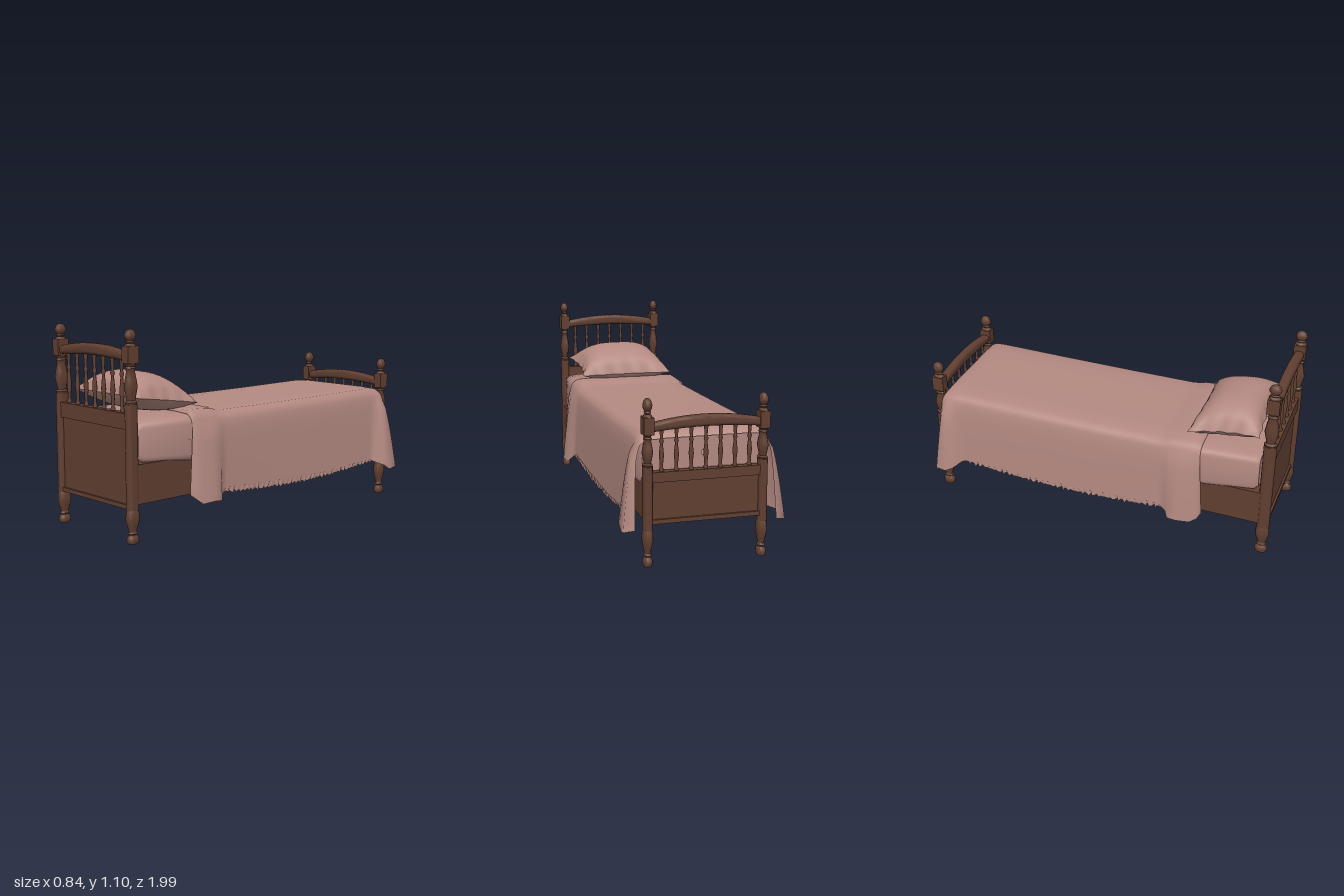
import * as THREE from 'three';
import { toCreasedNormals } from 'three/addons/utils/BufferGeometryUtils.js';

const wood = new THREE.MeshStandardMaterial({ color: 0x613f31 });
wood.name = 'brown wood';
const fabric = new THREE.MeshStandardMaterial({ color: 0xb48a82, side: THREE.DoubleSide });
fabric.name = 'dusty pink fabric';

function add(parent, name, geometry, material, x = 0, y = 0, z = 0) {
  const mesh = new THREE.Mesh(geometry, material);
  mesh.name = name;
  mesh.position.set(x, y, z);
  parent.add(mesh);
  return mesh;
}

const box = (w, h, d) => new THREE.BoxGeometry(w, h, d);

// Skin over rows of [x, y, z] points
function loft(rows) {
  const n = rows[0].length, index = [];
  for (let i = 0; i < rows.length - 1; i++) {
    for (let j = 0; j < n - 1; j++) {
      const a = i * n + j, b = a + 1, c = a + n, d = c + 1;
      index.push(a, b, c, b, d, c);
    }
  }
  const g = new THREE.BufferGeometry();
  g.setAttribute('position', new THREE.Float32BufferAttribute(rows.flat(2), 3));
  g.setIndex(index);
  g.computeVertexNormals();
  return g;
}

const lathe = (pts, sides) => new THREE.LatheGeometry(pts.map(p => new THREE.Vector2(p[0], p[1])), sides);

// Turned post: foot, plain shaft, vase, square block and finial
function makePost(base, shaftLow, shaftHigh, blockLow, blockHigh, top) {
  const post = new THREE.Group();
  post.name = 'post';
  const f = t => base + (shaftLow - base) * t;
  const v = t => shaftHigh + (blockLow - shaftHigh) * t;
  const k = t => blockHigh + (top - blockHigh) * t;
  const turned = (name, pts) => add(post, name, toCreasedNormals(lathe(pts, 20), 0.7), wood).scale.set(1, 1, 1.4);
  turned('turnedFoot', [[0, f(0)], [0.02, f(0)], [0.025, f(0.08)], [0.024, f(0.18)], [0.014, f(0.26)], [0.02, f(0.3)],
    [0.015, f(0.36)], [0.021, f(0.5)], [0.028, f(0.72)], [0.026, f(0.92)], [0.022, f(1)]]);
  turned('shaft', [[0, shaftLow], [0.025, shaftLow], [0.025, shaftHigh], [0, shaftHigh]]);
  turned('vase', [[0.022, v(0)], [0.025, v(0.05)], [0.017, v(0.1)], [0.02, v(0.2)], [0.027, v(0.42)],
    [0.023, v(0.6)], [0.017, v(0.8)], [0.021, v(0.88)], [0.016, v(0.93)], [0.022, v(1)]]);
  turned('finial', [[0.022, k(0)], [0.02, k(0.08)], [0.012, k(0.15)], [0.018, k(0.24)], [0.014, k(0.32)], [0.022, k(0.5)],
    [0.023, k(0.65)], [0.017, k(0.88)], [0.008, k(0.98)], [0, k(1)]]);
  add(post, 'block', box(0.05, blockHigh - blockLow, 0.066), wood, 0, (blockLow + blockHigh) / 2);
  return post;
}

// Arched rail with rounded edges
function archRail(low, high) {
  const s = new THREE.Shape();
  s.moveTo(-0.28, low);
  s.quadraticCurveTo(0, low + 0.03, 0.28, low);
  s.lineTo(0.28, high);
  s.quadraticCurveTo(0, high + 0.06, -0.28, high);
  const g = new THREE.ExtrudeGeometry(s, { depth: 0.016, curveSegments: 16, bevelThickness: 0.018,
    bevelSize: 0.016, bevelOffset: -0.016, bevelSegments: 4 });
  return toCreasedNormals(g.translate(0, 0, -0.008), 0.7);
}

// Headboard or footboard
function makeEnd(name, z, o) {
  const end = new THREE.Group();
  end.name = name;
  end.position.z = z;
  for (const side of [-1, 1]) {
    const post = makePost(...o.post);
    post.position.x = side * 0.295;
    end.add(post);
  }
  add(end, 'archedRail', archRail(o.railLow, o.railHigh), wood);
  const h = o.panelTop - o.panelLow;
  add(end, 'panel', box(0.56, h, 0.02), wood, 0, o.panelLow + h / 2);
  add(end, 'panelTopRail', box(0.56, o.capHeight, 0.044), wood, 0, o.panelTop - o.capHeight / 2);
  add(end, 'panelBottomRail', box(0.56, 0.022, 0.044), wood, 0, o.panelLow + 0.011);
  const len = o.railLow + 0.015 - o.panelTop;
  const profile = [[0.011, 0], [0.013, 0.03], [0.008, 0.08], [0.009, 0.2], [0.013, 0.38], [0.009, 0.55],
    [0.007, 0.64], [0.012, 0.7], [0.007, 0.76], [0.009, 0.9], [0.012, 1.04]].map(([r, t]) => [r, t * len]);
  for (let i = -3; i <= 3; i++) add(end, 'spindle', lathe(profile, 12), wood, i * 0.075, o.panelTop);
  return end;
}

// Mattress: rounded rectangular sections, closed at both ends, its sides hanging over the frame
function mattressGeometry() {
  const sections = [[0.912, 0.01, 0.55, 0.53], [0.912, 0.29, 0.635, 0.44], [0.89, 0.307, 0.648, 0.425],
    [0.6, 0.332, 0.652, 0.4], [0.4, 0.325, 0.648, 0.4], [-0.88, 0.325, 0.648, 0.38],
    [-0.92, 0.31, 0.635, 0.39], [-0.92, 0.01, 0.55, 0.53]];
  const soft = c => Math.sign(c) * Math.pow(Math.abs(c), 0.25);
  return toCreasedNormals(loft(sections.map(([z, w, top, low]) => {
    const row = [];
    for (let i = 0; i <= 40; i++) {
      const a = i / 40 * Math.PI * 2;
      const x = w * soft(Math.cos(a));
      const y = (top + low) / 2 + (top - low) / 2 * soft(Math.sin(a));
      row.push([x, Math.abs(x) < 0.29 ? Math.max(y, 0.445) : y, z]);
    }
    return row;
  })), 0.8);
}

// Bedspread stations: z at top, z at hem, top height, hem half width, hem height
const stations = [
  [0.6, 0.625, 0.655, 0.345, 0.24], [0.595, 0.61, 0.672, 0.372, 0.22], [0.56, 0.57, 0.677, 0.39, 0.19],
  [0.5, 0.5, 0.675, 0.402, 0.2], [0.44, 0.445, 0.67, 0.398, 0.19], [0.405, 0.425, 0.66, 0.362, 0.22],
  [0.36, 0.38, 0.655, 0.354, 0.245], [0, 0, 0.655, 0.354, 0.225], [-0.4, -0.4, 0.657, 0.354, 0.215],
  [-0.8, -0.79, 0.662, 0.354, 0.235], [-0.85, -0.825, 0.662, 0.365, 0.22], [-0.875, -0.86, 0.66, 0.408, 0.2],
  [-0.9, -0.91, 0.655, 0.42, 0.17], [-0.92, -0.965, 0.645, 0.412, 0.18], [-0.935, -0.985, 0.625, 0.37, 0.19],
];

function spreadGeometry() {
  return loft(stations.map(([z, zHem, top, w, hem], k) => {
    const half = [[0, top, z], [0.2, top, z], [0.295, top - 0.005, z], [0.325, top - 0.025, z]];
    for (let i = 0; i <= 8; i++) {
      const t = i / 8, y = top - 0.055;
      const fold = (w > 0.36 ? 0.006 : 0) * t * (k % 2 ? 1 : -1);
      half.push([0.336 + (w - 0.336) * Math.pow(t, 0.5) + fold, y + (hem - y) * t, z + (zHem - z) * t]);
    }
    return [...half.slice(1).reverse().map(([x, y, d]) => [-x, y, d]), ...half];
  }));
}

// Gathered fringe along one hem
function fringeGeometry(side) {
  const top = [], low = [], n = 110;
  for (let i = 0; i <= n; i++) {
    const t = i / n, z = 0.42 - 1.24 * t;
    const y = 0.245 - 0.033 * Math.sin(t * Math.PI);
    const x = side * (0.35 + 0.005 * Math.sin(i * 1.9));
    top.push([side * 0.35, y + 0.015, z]);
    low.push([x + side * 0.003 * Math.sin(i * 2.7), y - 0.022 + 0.008 * Math.sin(i * 2.3), z + 0.004 * Math.sin(i * 1.3)]);
  }
  return loft([top, low]);
}

// Pillow: two bulging skins meeting at a wavy, pointed border
function pillowGeometry(bulge) {
  const rows = [], n = 24;
  for (let i = 0; i <= n; i++) {
    const row = [], v = i / n * 2 - 1;
    for (let j = 0; j <= n; j++) {
      const u = j / n * 2 - 1;
      const puff = Math.pow((1 - Math.abs(u) ** 3) * (1 - Math.abs(v) ** 2.5), 0.6);
      const x = u * (0.25 + 0.028 * v * v + 0.004 * u ** 8 * Math.sin(v * 14));
      const z = 0.7 + v * (0.178 + 0.018 * u * u + 0.004 * v ** 8 * Math.sin(u * 16));
      row.push([x, 0.727 + 0.028 * v + bulge * puff, z]);
    }
    rows.push(row);
  }
  return loft(bulge > 0 ? rows.reverse() : rows);
}

export function createModel() {
  const bed = new THREE.Group();
  bed.name = 'bed';

  bed.add(makeEnd('headboard', 0.958, { post: [0.04, 0.21, 0.735, 0.935, 1.02, 1.1],
    railLow: 0.942, railHigh: 0.985, panelLow: 0.213, panelTop: 0.69, capHeight: 0.08 }));
  bed.add(makeEnd('footboard', -0.957, { post: [0, 0.185, 0.5, 0.655, 0.74, 0.83],
    railLow: 0.665, railHigh: 0.708, panelLow: 0.213, panelTop: 0.47, capHeight: 0.05 }));

  // Frame under the mattress
  for (const side of [-1, 1]) add(bed, 'sideRail', box(0.025, 0.2, 1.88), wood, side * 0.3, 0.335, 0);
  add(bed, 'baseBoard', box(0.6, 0.02, 1.88), wood, 0, 0.425, 0);

  // Bedding
  add(bed, 'mattress', mattressGeometry(), fabric);
  add(bed, 'bedspread', spreadGeometry(), fabric);
  for (const side of [-1, 1]) add(bed, 'fringe', fringeGeometry(side), fabric);
  const pillow = new THREE.Group();
  pillow.name = 'pillow';
  add(pillow, 'pillowTop', pillowGeometry(0.133), fabric);
  add(pillow, 'pillowUnderside', pillowGeometry(-0.07), fabric);
  bed.add(pillow);
  return bed;
}
